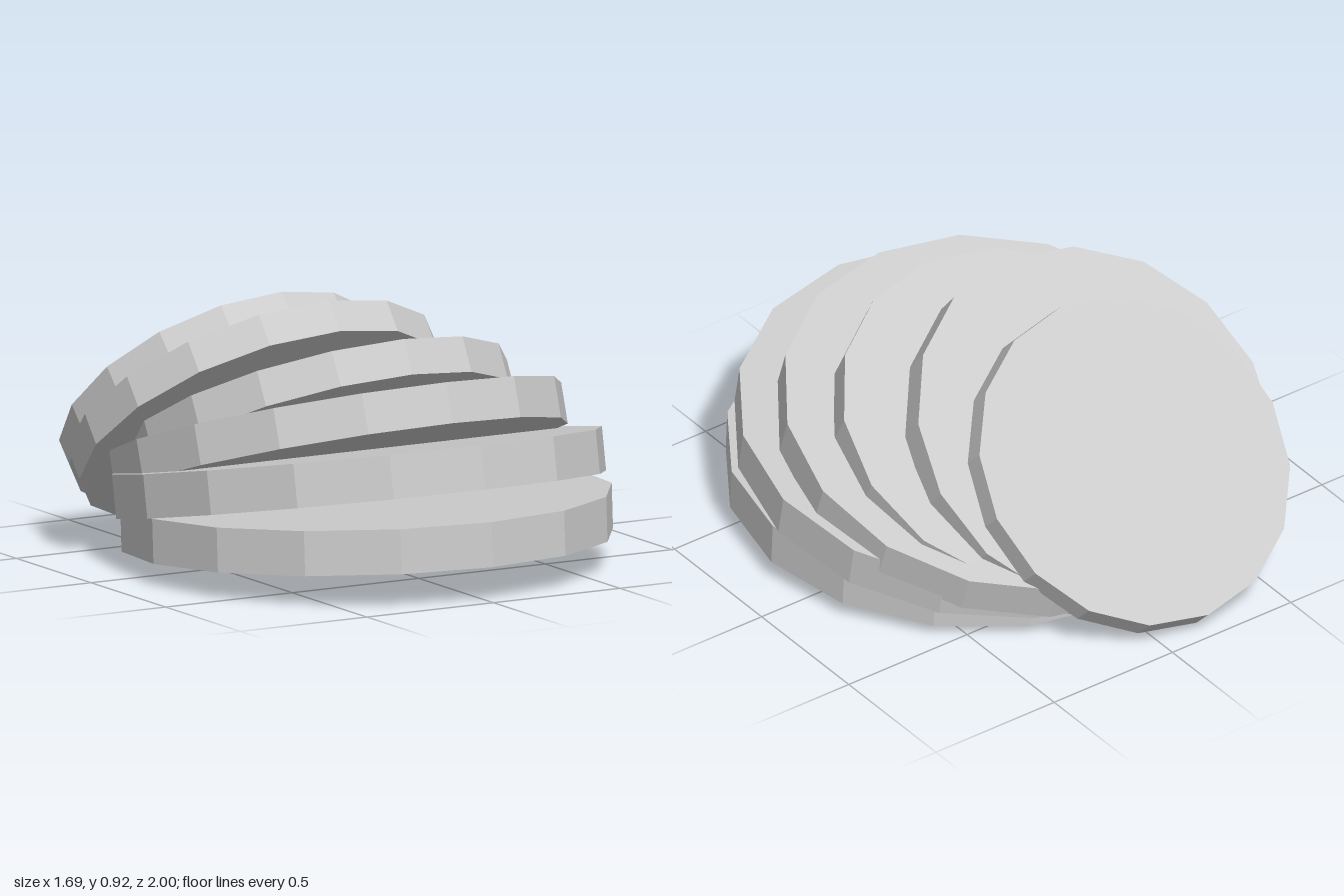
import * as THREE from 'three';

// Each disc: radius, thickness, centre x / y / z, backward lean in degrees
const DISCS = [
  { r: 0.845, t: 0.155, x: 0, y: 0.161, z: 0.151, lean: 3.2 },
  { r: 0.845, t: 0.152, x: 0, y: 0.308, z: 0.1, lean: 10.7 },
  { r: 0.785, t: 0.142, x: 0, y: 0.407, z: -0.038, lean: 18.2 },
  { r: 0.675, t: 0.128, x: -0.013, y: 0.453, z: -0.143, lean: 28 },
  { r: 0.66, t: 0.12, x: -0.153, y: 0.468, z: -0.321, lean: 38.8 },
  { r: 0.583, t: 0.097, x: -0.153, y: 0.467, z: -0.543, lean: 43.9 },
];

export function createModel() {
  const group = new THREE.Group();
  group.name = 'fannedDiscs';
  const material = new THREE.MeshStandardMaterial({ color: 0xcccccc, flatShading: true });

  // Sixteen-sided discs fanned open towards the front
  DISCS.forEach(({ r, t, x, y, z, lean }, i) => {
    const disc = new THREE.Mesh(new THREE.CylinderGeometry(r, r, t, 16), material);
    disc.name = `disc${i + 1}`;
    disc.position.set(x, y, z);
    disc.rotation.x = -THREE.MathUtils.degToRad(lean);
    group.add(disc);
  });

  return group;
}
